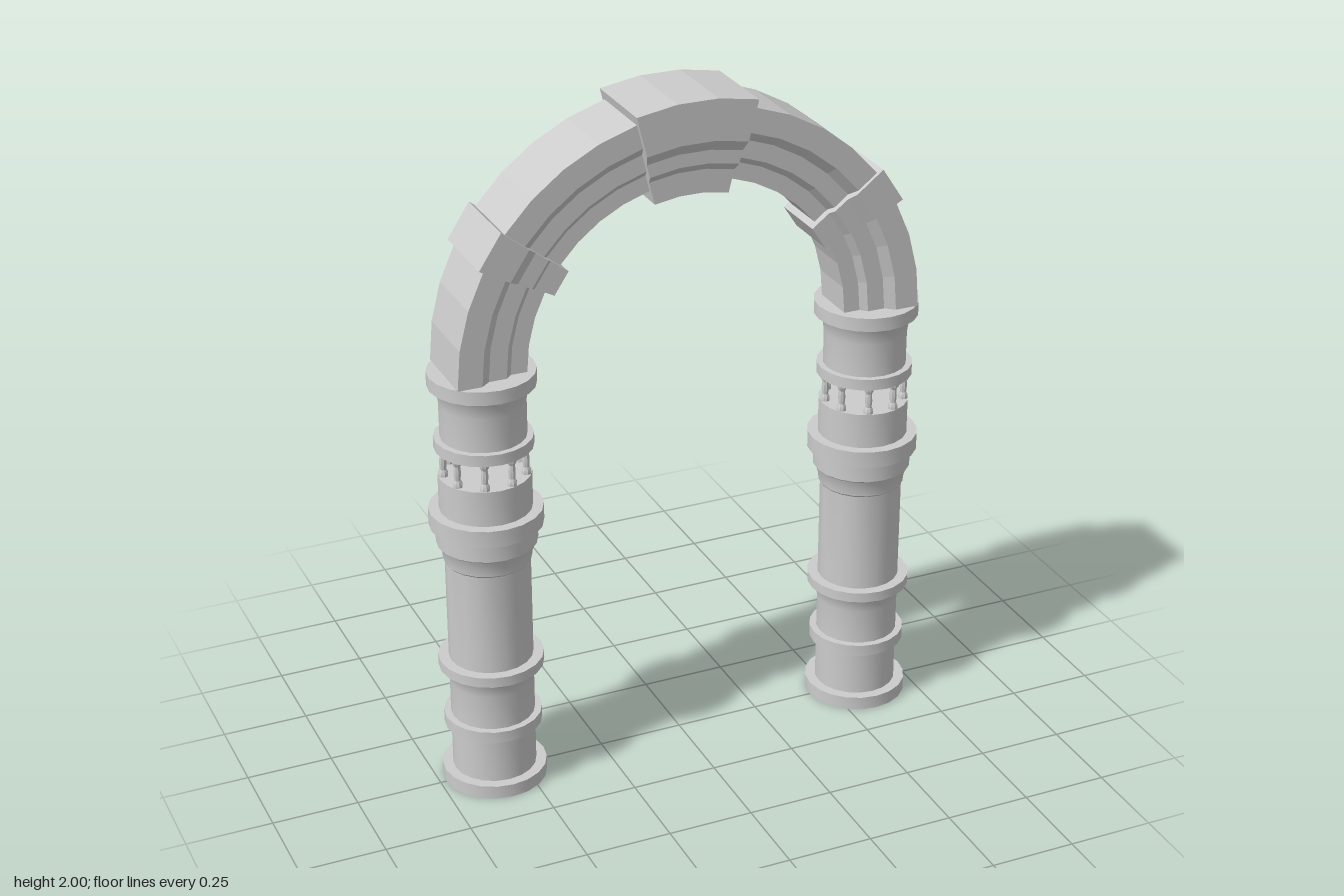
import * as THREE from 'three';
import { toCreasedNormals } from 'three/addons/utils/BufferGeometryUtils.js';

const grey = new THREE.MeshStandardMaterial({ color: 0xcccccc });
const SPRING = 1.285; // height of the arch centre
const STEP = Math.PI / 19; // one arch segment
const SIDES = 20;

function part(name, geometry) {
  const mesh = new THREE.Mesh(geometry, grey);
  mesh.name = name;
  return mesh;
}

// Turned part from [radius, height] pairs, sharp at the rims
function turned(name, points, sides = SIDES) {
  const profile = points.map(([r, y]) => new THREE.Vector2(r, y));
  return part(name, toCreasedNormals(new THREE.LatheGeometry(profile, sides), 0.5));
}

// Stepped moulding section [radius, half depth], swept around the arch centre
function moulding(name, section, from, to, segments) {
  const front = section.map(([r, z]) => new THREE.Vector2(r, z));
  const back = section.map(([r, z]) => new THREE.Vector2(r, -z)).reverse();
  const shape = new THREE.Shape([...front, ...back]);
  const geo = new THREE.ExtrudeGeometry(shape, { depth: 1, steps: segments, bevelEnabled: false });
  const p = geo.attributes.position;
  for (let i = 0; i < p.count; i++) {
    const r = p.getX(i), z = p.getY(i);
    const a = from + (to - from) * p.getZ(i);
    p.setXYZ(i, r * Math.sin(a), SPRING + r * Math.cos(a), z);
  }
  return part(name, toCreasedNormals(geo, 0.1));
}

function createColumn() {
  const column = new THREE.Group();

  // Foot, banded shaft and drum below the open gallery
  column.add(turned('shaft', [
    [0, 0], [0.15, 0], [0.15, 0.04], [0.12, 0.04], [0.12, 0.18],
    [0.14, 0.18], [0.14, 0.215], [0.12, 0.215], [0.12, 0.32],
    [0.124, 0.345], [0.135, 0.37], [0.15, 0.37], [0.15, 0.4],
    [0.12, 0.4], [0.12, 0.705], [0.124, 0.71], [0.127, 0.735], [0.136, 0.76],
    [0.142, 0.765], [0.142, 0.82], [0.16, 0.82], [0.16, 0.87],
    [0.13, 0.87], [0.13, 0.975], [0, 0.975],
  ]));

  // Capital above the gallery
  column.add(turned('capital', [
    [0, 1.057], [0.138, 1.057], [0.138, 1.09], [0.12, 1.09], [0.12, 1.19],
    [0.124, 1.22], [0.135, 1.245], [0.15, 1.245], [0.15, 1.285], [0, 1.285],
  ]));

  // Ring of nine small balusters
  for (let i = 0; i < 9; i++) {
    const a = Math.PI + (i * Math.PI * 2) / 9;
    const post = turned('baluster', [
      [0.014, 0.975], [0.014, 0.985], [0.009, 0.995], [0.011, 1.016],
      [0.009, 1.037], [0.014, 1.047], [0.014, 1.057],
    ], 8);
    post.position.set(0.115 * Math.sin(a), 0, 0.115 * Math.cos(a));
    column.add(post);
  }
  return column;
}

export function createModel() {
  const model = new THREE.Group();
  model.name = 'archway';

  for (const side of [1, -1]) {
    const column = createColumn();
    column.name = side > 0 ? 'leftColumn' : 'rightColumn';
    column.position.x = side * 0.583;
    model.add(column);

    // Block clasping one arch segment on each flank
    const mid = side * 6 * STEP;
    model.add(moulding(side > 0 ? 'leftArchBlock' : 'rightArchBlock', [
      [0.457, 0.09], [0.52, 0.09], [0.535, 0.105], [0.58, 0.105],
      [0.61, 0.121], [0.708, 0.121],
    ], mid - STEP / 2, mid + STEP / 2, 1));
  }

  // Semicircular arch, stepping back towards the opening
  model.add(moulding('arch', [
    [0.477, 0.07], [0.525, 0.07], [0.543, 0.088], [0.594, 0.088],
    [0.62, 0.11], [0.69, 0.11],
  ], -Math.PI / 2, Math.PI / 2, 19));

  // Keystone over the three top segments
  model.add(moulding('keystone', [
    [0.441, 0.085], [0.508, 0.085], [0.53, 0.104], [0.568, 0.104],
    [0.6, 0.126], [0.7175, 0.126],
  ], -1.5 * STEP, 1.5 * STEP, 3));

  return model;
}
